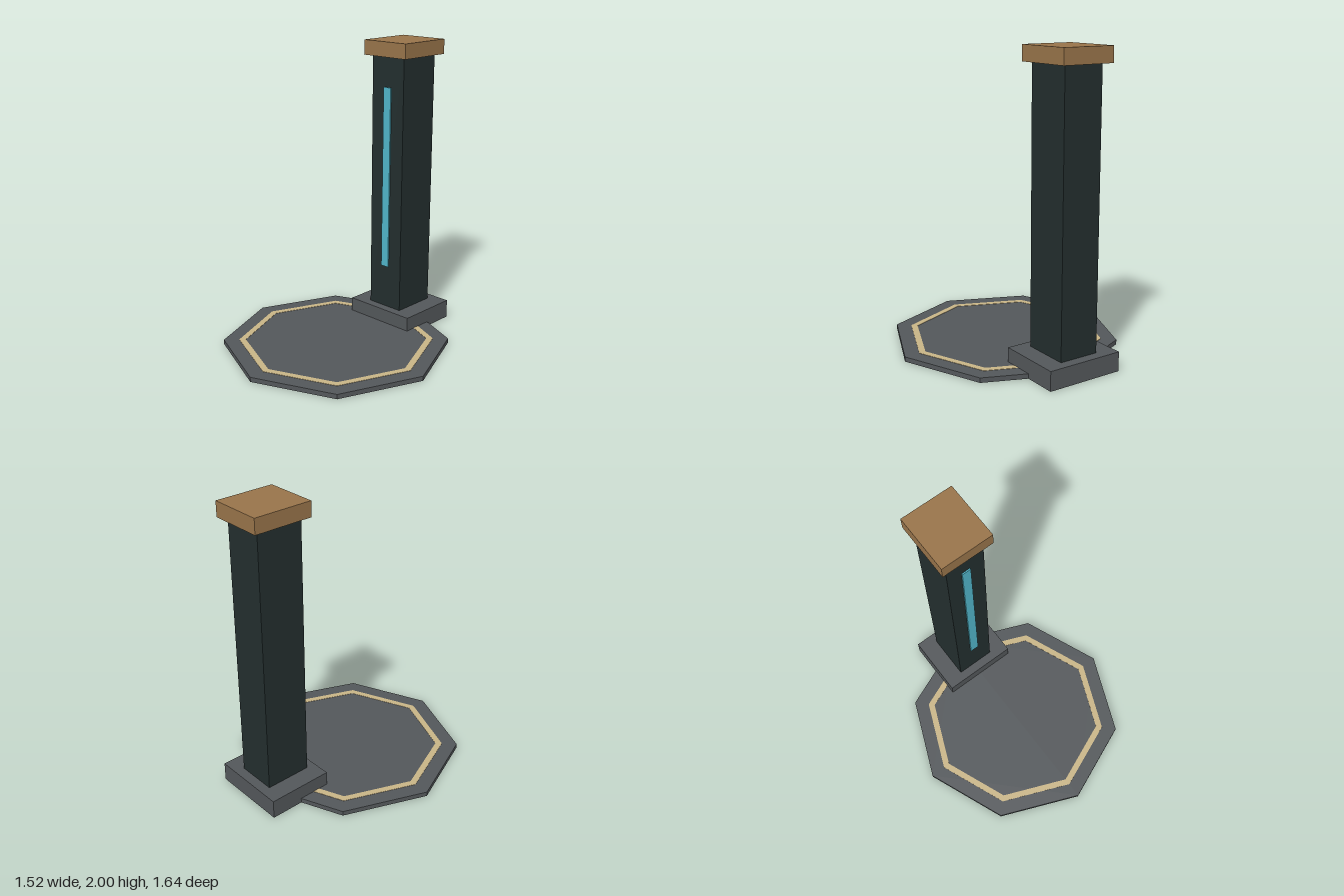
import * as THREE from 'three';

const material = (name, color) => {
  const m = new THREE.MeshStandardMaterial({ color });
  m.name = name;
  return m;
};

// Octagon outline with corners on the axes
function octagon(Type, radius) {
  const path = new Type();
  for (let i = 0; i < 8; i++) {
    const a = (i * Math.PI) / 4;
    path[i ? 'lineTo' : 'moveTo'](radius * Math.cos(a), radius * Math.sin(a));
  }
  path.closePath();
  return path;
}

export function createModel() {
  const model = new THREE.Group();
  const stone = material('slate grey', 0x53575a);
  const dark = material('dark green', 0x232e2e);
  const wood = material('warm brown', 0x98744a);
  const sand = material('pale gold', 0xc8b486);
  const glow = material('cyan', 0x50b4c8);

  const add = (name, geometry, mat) => {
    const mesh = new THREE.Mesh(geometry, mat);
    mesh.name = name;
    model.add(mesh);
    return mesh;
  };
  // Box centred on x, given by its half width, heights and depths
  const box = (name, mat, halfWidth, y0, y1, z0, z1) => {
    const mesh = add(name, new THREE.BoxGeometry(halfWidth * 2, y1 - y0, z1 - z0), mat);
    mesh.position.set(0, (y0 + y1) / 2, (z0 + z1) / 2);
  };
  // Flat octagonal slab, optionally hollow
  const slab = (name, mat, radius, hole, y0, y1) => {
    const shape = octagon(THREE.Shape, radius);
    if (hole) shape.holes.push(octagon(THREE.Path, hole));
    const geometry = new THREE.ExtrudeGeometry(shape, { depth: y1 - y0, bevelEnabled: false });
    geometry.rotateX(-Math.PI / 2);
    add(name, geometry, mat).position.set(0, y0, 0.055);
  };

  // Floor platform with its inlaid ring
  slab('platform', stone, 0.762, 0, 0, 0.032);
  slab('platformRing', sand, 0.658, 0.613, 0.03, 0.034);

  // Pillar at the back of the platform
  box('pillarBase', stone, 0.263, 0, 0.128, -0.822, -0.378);
  box('pillar', dark, 0.136, 0.128, 1.9, -0.755, -0.44);
  box('pillarCap', wood, 0.18, 1.9, 2, -0.8, -0.4);
  box('lightStrip', glow, 0.031, 0.43, 1.695, -0.44, -0.431);

  return model;
}
